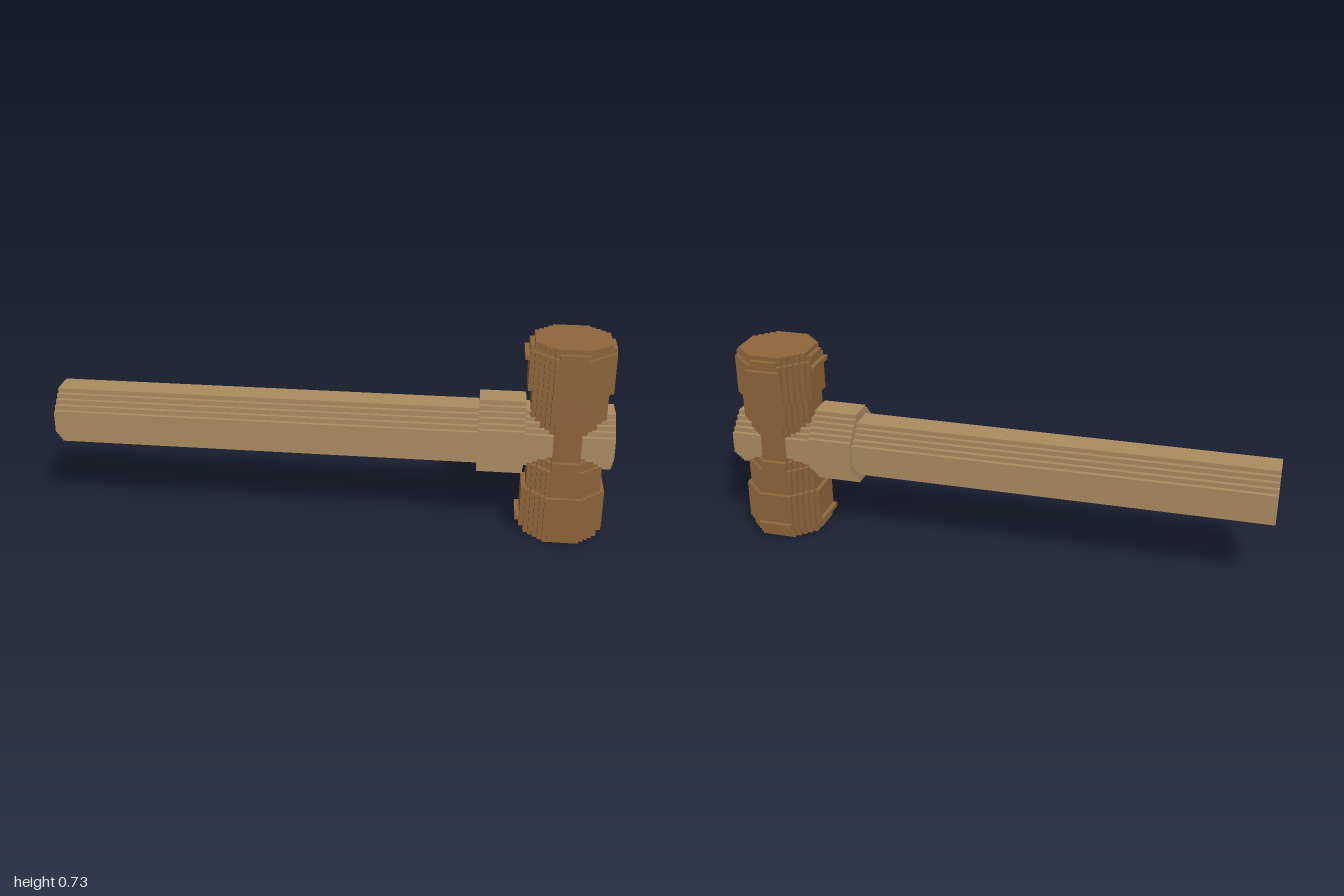
import * as THREE from 'three';

const V = 2 / 123; // size of one stair step
const AXIS_X = 113 * V - 1, AXIS_Y = 22.5 * V, AXIS_Z = 0.5 * V;

// Octagon outline with stair-stepped corners; a, b are half sizes, n the steps per corner
function steppedOctagon(a, b, n) {
  const quarter = [];
  for (let i = 0; i <= n; i++) {
    quarter.push([a - i, b - n + i]);
    if (i < n) quarter.push([a - i - 1, b - n + i]);
  }
  const back = [...quarter].reverse();
  const points = [
    ...quarter,
    ...back.map(([x, y]) => [-x, y]),
    ...quarter.map(([x, y]) => [-x, -y]),
    ...back.map(([x, y]) => [x, -y]),
  ];
  return new THREE.Shape(points.map(([x, y]) => new THREE.Vector2(x * V, y * V)));
}

function extrude(shape, steps) {
  return new THREE.ExtrudeGeometry(shape, { depth: steps * V, bevelEnabled: false });
}

export function createModel() {
  const group = new THREE.Group();
  const lightWood = new THREE.MeshStandardMaterial({ name: 'lightWood', color: 0xac8c60 });
  const darkWood = new THREE.MeshStandardMaterial({ name: 'darkWood', color: 0x8f663a });

  function add(name, geometry, material, x, y, z) {
    const mesh = new THREE.Mesh(geometry, material);
    mesh.name = name;
    mesh.position.set(x, y, z);
    group.add(mesh);
    return mesh;
  }

  // Handle running through the head, and the collar beside it
  const handle = add('handle', extrude(steppedOctagon(7, 6.5, 4), 123).rotateY(Math.PI / 2),
    lightWood, -1, AXIS_Y, AXIS_Z);
  handle.scale.set(1, 0.996, 0.996); // keeps its sides just under the head's faces
  add('collar', extrude(steppedOctagon(8, 8.5, 5), 10).rotateY(Math.PI / 2),
    lightWood, 94 * V - 1, AXIS_Y, AXIS_Z);

  // Head layers from bottom to top: [first row, last row, half width, corner steps]
  const layers = [
    ['strikingFace', 0, 1, 8, 4],
    ['flareRim', 1, 2, 9, 6],
    ['flare', 2, 11, 9, 5],
    ['neck', 11, 17, 8, 4],
    ['waistEdge', 17, 19, 8, 5],
  ];
  for (const [name, from, to, half, n] of layers) {
    const geometry = extrude(steppedOctagon(half, half, n), to - from).rotateX(-Math.PI / 2);
    add(name + 'Lower', geometry, darkWood, AXIS_X, from * V, AXIS_Z);
    add(name + 'Upper', geometry, darkWood, AXIS_X, (45 - to) * V, AXIS_Z);
  }
  add('waist', extrude(steppedOctagon(7, 7, 4), 7).rotateX(-Math.PI / 2),
    darkWood, AXIS_X, 19 * V, AXIS_Z);

  // Thin ridges on the back and handle sides of both flares
  for (const row of [3.5, 41.5]) {
    add('backRidge', new THREE.BoxGeometry(8 * V, V, V), darkWood,
      AXIS_X, row * V, AXIS_Z - 9.5 * V);
    add('sideRidge', new THREE.BoxGeometry(V, V, 8 * V), darkWood,
      AXIS_X - 9.5 * V, row * V, AXIS_Z);
  }
  return group;
}
